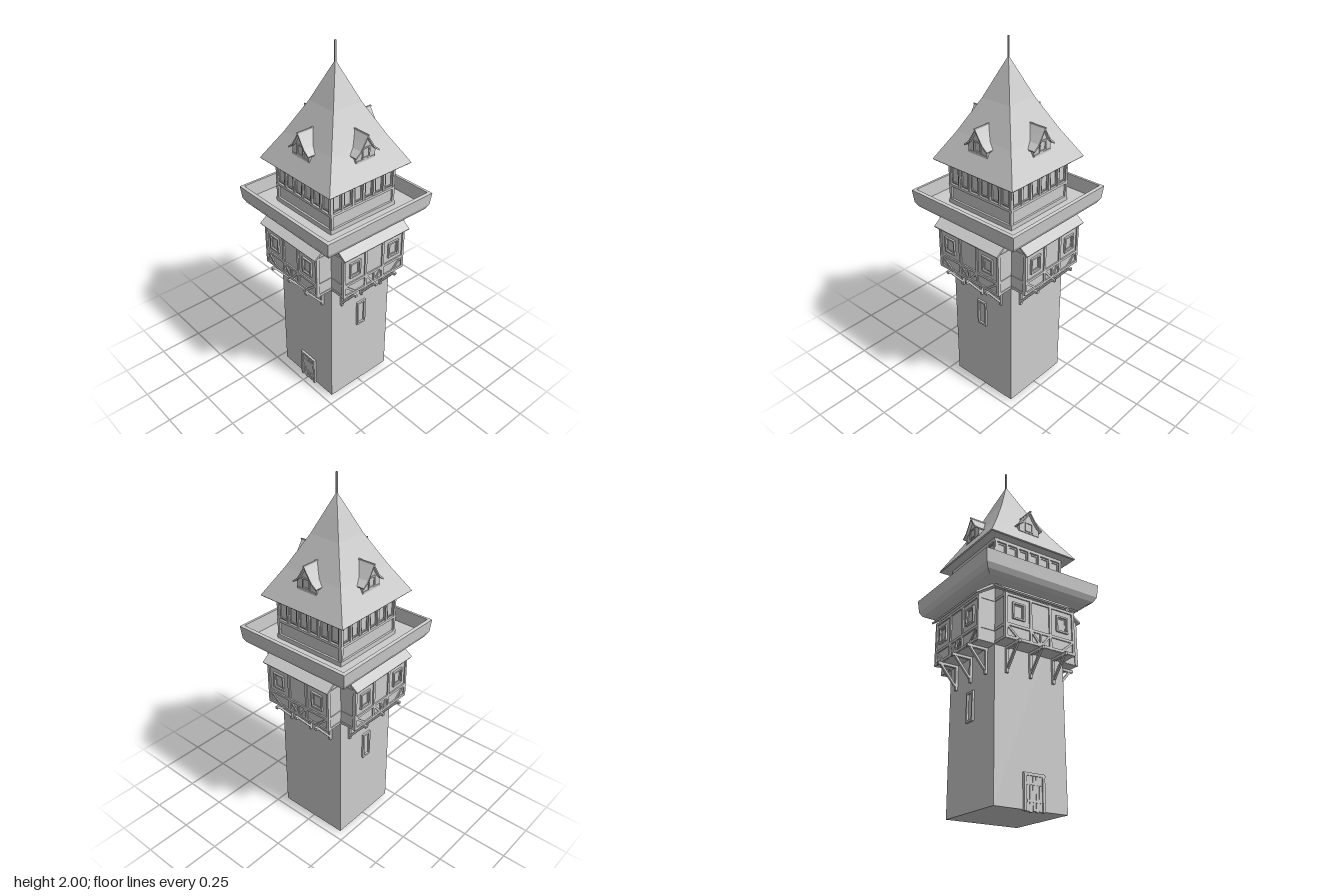
import * as THREE from 'three';

const mat = new THREE.MeshStandardMaterial({ color: 0xcccccc, flatShading: true });

function add(parent, name, geo) {
  const mesh = new THREE.Mesh(geo, mat);
  mesh.name = name;
  parent.add(mesh);
  return mesh;
}

function box(parent, name, w, h, d, x, y, z) {
  return add(parent, name, new THREE.BoxGeometry(w, h, d).translate(x, y, z));
}

// Straight timber between two points of a wall plane at depth z
function beam(parent, name, x0, y0, x1, y1, z, w = 0.014, d = 0.012) {
  const g = new THREE.BoxGeometry(Math.hypot(x1 - x0, y1 - y0), w, d);
  g.rotateZ(Math.atan2(y1 - y0, x1 - x0));
  return add(parent, name, g.translate((x0 + x1) / 2, (y0 + y1) / 2, z));
}

const toShape = (pts) => new THREE.Shape(pts.map(([x, y]) => new THREE.Vector2(x, y)));

// Outline in (x, y), extruded from z0 to z1
function prismZ(parent, name, pts, z0, z1) {
  const g = new THREE.ExtrudeGeometry(toShape(pts), { depth: z1 - z0, bevelEnabled: false });
  return add(parent, name, g.translate(0, 0, z0));
}

// Outline in (z, y), extruded along x and centred on x
function prismX(parent, name, pts, width, x = 0) {
  const g = new THREE.ExtrudeGeometry(toShape(pts), { depth: width, bevelEnabled: false });
  return add(parent, name, g.rotateY(-Math.PI / 2).translate(x + width / 2, 0, 0));
}

// Square ring solid: profile of (half width, y), from the bottom outside upwards
function squareLathe(parent, name, pts) {
  const p = pts.map(([r, y]) => new THREE.Vector2(r * Math.SQRT2, y));
  return add(parent, name, new THREE.LatheGeometry(p, 4, Math.PI / 4));
}

// Rectangular window frame with a cross bar
function windowFrame(parent, name, x, y, w, h, z, t = 0.009, d = 0.012) {
  const a = w / 2, b = h / 2;
  const s = toShape([[-a, -b], [a, -b], [a, b], [-a, b]]);
  s.holes.push(new THREE.Path([[t - a, t - b], [t - a, b - t], [a - t, b - t], [a - t, t - b]]
    .map(([u, v]) => new THREE.Vector2(u, v))));
  const g = new THREE.ExtrudeGeometry(s, { depth: d, bevelEnabled: false });
  add(parent, name, g.translate(x, y, z));
}

// Timber-framed bay with lean-to roof and brackets, facing +z
function buildBay(side) {
  const bay = new THREE.Group();
  bay.name = 'bay';
  side.add(bay);
  prismX(bay, 'bayWalls', [[0.19, 0.78], [0.3, 0.78], [0.3, 1.03], [0.19, 1.1]], 0.415);
  prismX(bay, 'bayRoof', [[0.19, 1.095], [0.225, 1.088], [0.323, 1.022], [0.328, 1.03],
    [0.23, 1.1], [0.19, 1.112]], 0.445);

  const z = 0.301;
  for (const y of [0.788, 0.855, 1.015]) beam(bay, 'rail', -0.212, y, 0.212, y, z);
  for (const x of [-0.205, -0.06, 0.06, 0.205]) beam(bay, 'post', x, 0.78, x, 1.025, z);
  beam(bay, 'middlePost', 0, 0.78, 0, 0.855, z, 0.01);
  for (const s of [-1, 1]) {
    beam(bay, 'brace', s * 0.2, 0.85, s * 0.13, 0.79, z - 0.001, 0.011);
    beam(bay, 'brace', s * 0.005, 0.79, s * 0.055, 0.85, z - 0.001, 0.011);
    windowFrame(bay, 'bayWindow', s * 0.133, 0.935, 0.072, 0.09, 0.298);
    windowFrame(bay, 'bayWindowSash', s * 0.133, 0.935, 0.05, 0.068, 0.298, 0.005, 0.005);
    // Framing on the short cheek walls
    box(bay, 'cheekPost', 0.008, 0.25, 0.014, s * 0.208, 0.905, 0.296);
    for (const y of [0.788, 0.855, 1.015]) box(bay, 'cheekRail', 0.006, 0.014, 0.09, s * 0.208, y, 0.257);
  }

  // Brackets under the bay
  for (const x of [-0.14, 0, 0.14]) {
    const w = 0.014;
    prismX(bay, 'bracketPost', [[0.205, 0.645], [0.221, 0.645], [0.221, 0.78], [0.205, 0.78]], w, x);
    prismX(bay, 'bracketArm', [[0.205, 0.767], [0.325, 0.767], [0.325, 0.782], [0.205, 0.782]], w, x);
    prismX(bay, 'bracketStrut', [[0.215, 0.67], [0.225, 0.664], [0.312, 0.768], [0.296, 0.768]], w - 0.002, x);
  }
}

// Upper storey framing with a row of windows
function buildUpperSide(side) {
  const z = 0.21;
  beam(side, 'upperSill', -0.217, 1.235, 0.217, 1.235, z, 0.014, 0.014);
  beam(side, 'upperHead', -0.216, 1.37, 0.216, 1.37, z, 0.02);
  beam(side, 'baseRail', -0.217, 1.14, 0.217, 1.14, z, 0.03, 0.014);
  for (let i = 0; i <= 6; i++) {
    const x = -0.207 + i * 0.069;
    beam(side, 'upperPost', x, i % 6 ? 1.235 : 1.13, x, 1.37, z);
    if (i < 6) windowFrame(side, 'upperWindow', x + 0.0345, 1.302, 0.05, 0.105, 0.204, 0.006, 0.007);
  }
}

// Gabled dormer with flared roof
function buildDormer(side) {
  const dormer = new THREE.Group();
  dormer.name = 'dormer';
  side.add(dormer);
  prismZ(dormer, 'dormerWalls', [[-0.063, 1.45], [0.063, 1.45], [0.063, 1.508], [0.042, 1.526],
    [0.02, 1.56], [0, 1.595], [-0.02, 1.56], [-0.042, 1.526], [-0.063, 1.508]], 0.12, 0.219);
  const top = [[0.077, 1.508], [0.045, 1.534], [0.022, 1.569], [0, 1.605]];
  const under = [[0, 1.594], [0.02, 1.56], [0.043, 1.525], [0.074, 1.501]];
  const mirror = (pts) => pts.map(([x, y]) => [-x, y]).reverse();
  prismZ(dormer, 'dormerRoof', [...top, ...mirror(top).slice(1),
    ...mirror(under), ...under.slice(1)], 0.13, 0.235);
  box(dormer, 'dormerRidge', 0.007, 0.008, 0.1, 0, 1.605, 0.188);
  windowFrame(dormer, 'dormerWindow', 0, 1.51, 0.05, 0.058, 0.217, 0.007, 0.007);
  beam(dormer, 'dormerBeam', -0.06, 1.475, 0.06, 1.475, 0.218, 0.008, 0.008);
}

// Plank door with frame
function buildDoor(tower) {
  const door = new THREE.Group();
  door.name = 'door';
  tower.add(door);
  for (const x of [-0.043, 0.062]) box(door, 'doorJamb', 0.014, 0.172, 0.02, x, 0.09, 0.211);
  box(door, 'doorLintel', 0.12, 0.014, 0.02, 0.01, 0.172, 0.211);
  [0.004, 0, 0.006, 0.002, 0.005].forEach((y, i) =>
    box(door, 'doorPlank', 0.0165, 0.166 - y, 0.012, -0.026 + i * 0.018, (0.166 + y) / 2, 0.21));
  for (const y of [0.05, 0.13]) box(door, 'doorBatten', 0.085, 0.012, 0.014, 0.01, y, 0.211);
}

export function createModel() {
  const tower = new THREE.Group();
  tower.name = 'tower';

  box(tower, 'shaft', 0.416, 1.1, 0.416, 0, 0.56, 0);
  box(tower, 'upperStorey', 0.412, 0.3, 0.412, 0, 1.24, 0);

  // Walkway tray with parapet
  squareLathe(tower, 'walkway', [[0.19, 1.095], [0.305, 1.095], [0.33, 1.108], [0.345, 1.135],
    [0.352, 1.205], [0.334, 1.208], [0.331, 1.13], [0.19, 1.13]]);

  // Flared pyramid roof and spike
  squareLathe(tower, 'roof', [[0, 1.385], [0.266, 1.375], [0.27, 1.38], [0.18, 1.53],
    [0.09, 1.7], [0.045, 1.803], [0, 1.905]]);
  box(tower, 'spike', 0.007, 0.11, 0.007, 0, 1.945, 0);

  for (let i = 0; i < 4; i++) {
    const side = new THREE.Group();
    side.name = ['front', 'left', 'back', 'right'][i] + 'Side';
    side.rotation.y = i * Math.PI / 2;
    buildBay(side);
    buildUpperSide(side);
    buildDormer(side);
    // Slit windows on the two flanks
    if (i % 2) {
      windowFrame(side, 'slitWindow', 0, 0.52, 0.06, 0.155, 0.205, 0.011, 0.014);
      box(side, 'slitShutter', 0.036, 0.13, 0.006, 0, 0.52, 0.207);
    }
    tower.add(side);
  }
  buildDoor(tower);
  return tower;
}
